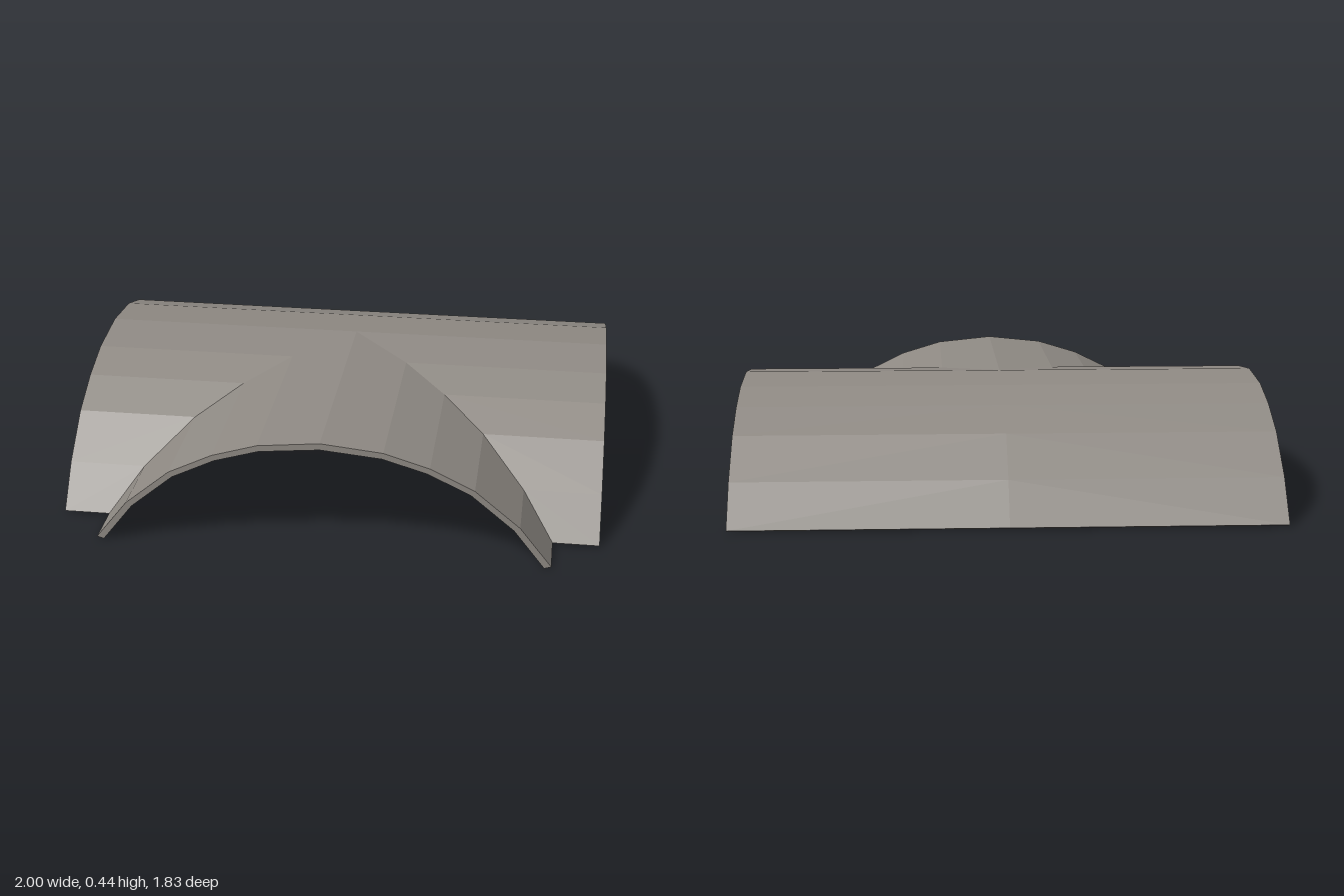
import * as THREE from 'three';

// Half profile of the vault from crown to foot: distance from the axis, height
const OUTER = [[0, 0.445], [0.225, 0.422], [0.39, 0.372], [0.55, 0.294], [0.714, 0.157], [0.83, 0.008]];
const INNER = [[0, 0.42], [0.22, 0.399], [0.382, 0.351], [0.538, 0.275], [0.693, 0.145], [0.805, 0]];
const AXIS_Z = -0.085; // where the two barrels cross

// Half a barrel of shell; place(s, y, l) maps profile distance, height and length.
// A mitred shell starts on the diagonal groin, where length equals profile distance.
function shell(place, mitred, flip) {
  const pos = [];
  const quad = (a, b, c, d) => {
    const corners = flip ? [a, d, c, a, c, b] : [a, b, c, a, c, d];
    corners.forEach((p) => pos.push(...p));
  };
  const start = ([s, y]) => place(s, y, mitred ? s : 0);
  const end = ([s, y]) => place(s, y, 1);
  const last = OUTER.length - 1;
  for (let i = 0; i < last; i++) {
    const [o0, o1, n0, n1] = [OUTER[i], OUTER[i + 1], INNER[i], INNER[i + 1]];
    quad(start(o0), start(o1), end(o1), end(o0)); // outside
    quad(start(n0), end(n0), end(n1), start(n1)); // underside
    quad(end(o0), end(o1), end(n1), end(n0)); // open end rim
  }
  // foot edge
  quad(start(OUTER[last]), start(INNER[last]), end(INNER[last]), end(OUTER[last]));
  const geometry = new THREE.BufferGeometry();
  geometry.setAttribute('position', new THREE.Float32BufferAttribute(pos, 3));
  geometry.computeVertexNormals();
  return geometry;
}

export function createModel() {
  const model = new THREE.Group();
  model.name = 'crossVault';
  const stone = new THREE.MeshStandardMaterial({ color: 0x8f8a84, flatShading: true });
  stone.name = 'warm grey stone';

  const add = (name, geometry) => {
    const mesh = new THREE.Mesh(geometry, stone);
    mesh.name = name;
    model.add(mesh);
  };

  for (const side of [1, -1]) {
    const label = side > 0 ? 'Left' : 'Right';
    // rear slope of the main barrel
    add('rearBarrel' + label, shell((s, y, l) => [side * l, y, AXIS_Z - s], false, side > 0));
    // front slope of the main barrel, cut along the groin
    add('frontBarrel' + label, shell((s, y, l) => [side * l, y, AXIS_Z + s], true, side < 0));
    // cross barrel opening to the front
    add('crossBarrel' + label, shell((s, y, l) => [side * s, y, AXIS_Z + l], true, side > 0));
  }
  return model;
}
